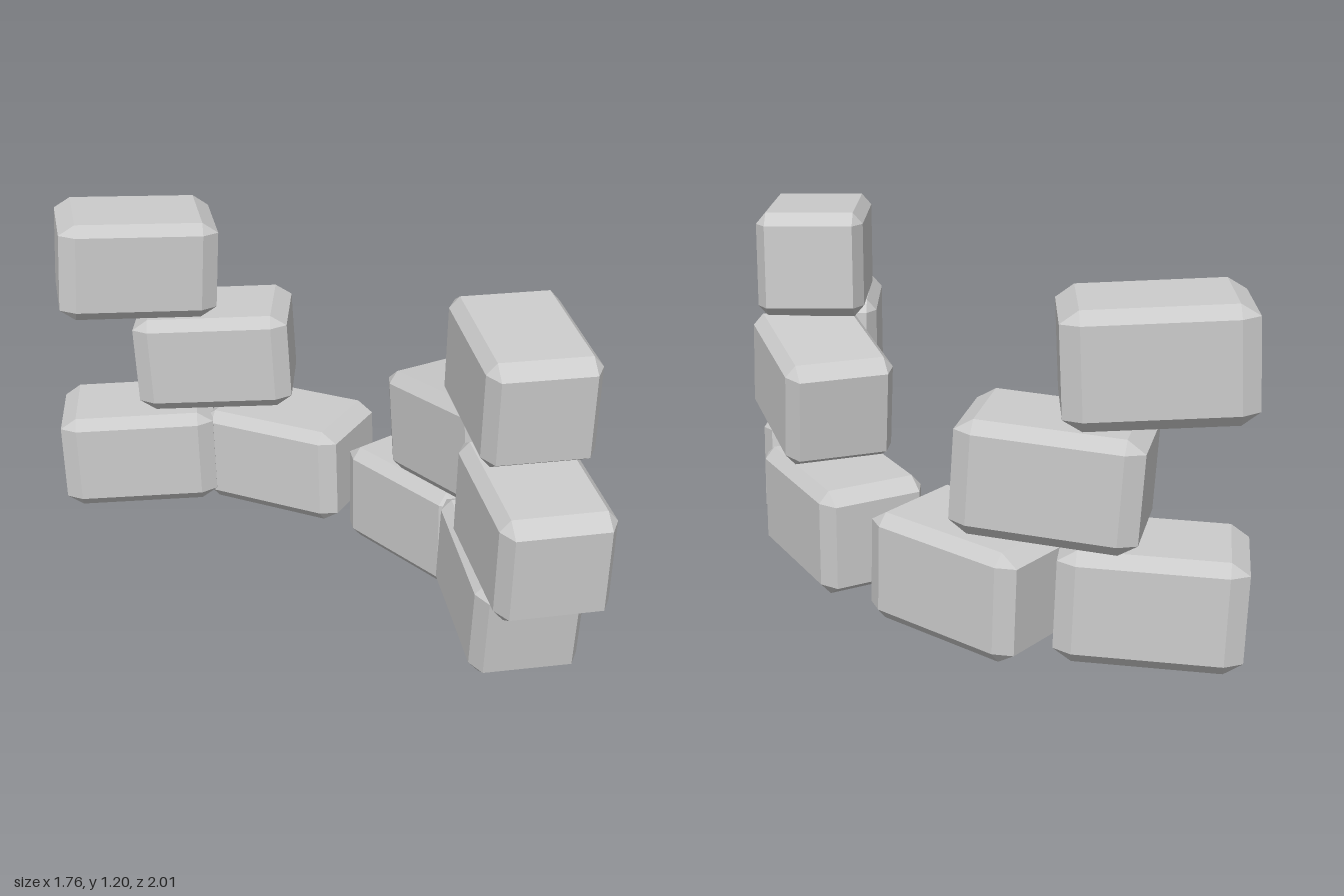
import * as THREE from 'three';
import { ConvexGeometry } from 'three/addons/geometries/ConvexGeometry.js';

// Box with every edge chamfered: each face keeps an inset rectangle
function chamferedBlock(size, bevel) {
  const half = size.map((s) => s / 2);
  const points = [];
  for (let face = 0; face < 3; face++)
    for (const sx of [-1, 1])
      for (const sy of [-1, 1])
        for (const sz of [-1, 1]) {
          const p = [sx, sy, sz].map((s, i) => s * (i === face ? half[i] : half[i] - bevel[i]));
          points.push(new THREE.Vector3(...p));
        }
  return new ConvexGeometry(points);
}

// Curved, broken wall: name, centre, yaw and tilt in degrees
const BLOCKS = [
  ['bottomBlockLeftEnd', [-0.58, 0.215, -0.775], -3, 2],
  ['bottomBlockLeftInner', [0.0, 0.215, -0.65], -34, 2],
  ['bottomBlockRightInner', [0.495, 0.215, -0.165], -57, 1],
  ['bottomBlockRightEnd', [0.66, 0.22, 0.415], -86, -7],
  ['middleBlockLeft', [-0.27, 0.615, -0.77], -9, 3.5],
  ['middleBlockRightInner', [0.59, 0.62, 0.035], -66, 7.5],
  ['middleBlockRightEnd', [0.66, 0.605, 0.7], -85, -3.5],
  ['topBlockLeft', [-0.57, 1.0, -0.775], 4, -2.5],
  ['topBlockRight', [0.66, 1.0, 0.42], -86, -3.5],
];

export function createModel() {
  const group = new THREE.Group();
  group.name = 'ruinedWall';
  const material = new THREE.MeshStandardMaterial({ color: 0xcccccc, flatShading: true });
  const geometry = chamferedBlock([0.59, 0.375, 0.38], [0.06, 0.04, 0.035]);
  for (const [name, centre, yaw, tilt] of BLOCKS) {
    const block = new THREE.Mesh(geometry, material);
    block.name = name;
    block.position.set(...centre);
    // tilt along the length first, then turn about the vertical
    block.rotation.set(0, THREE.MathUtils.degToRad(yaw), THREE.MathUtils.degToRad(tilt), 'YZX');
    group.add(block);
  }
  return group;
}
